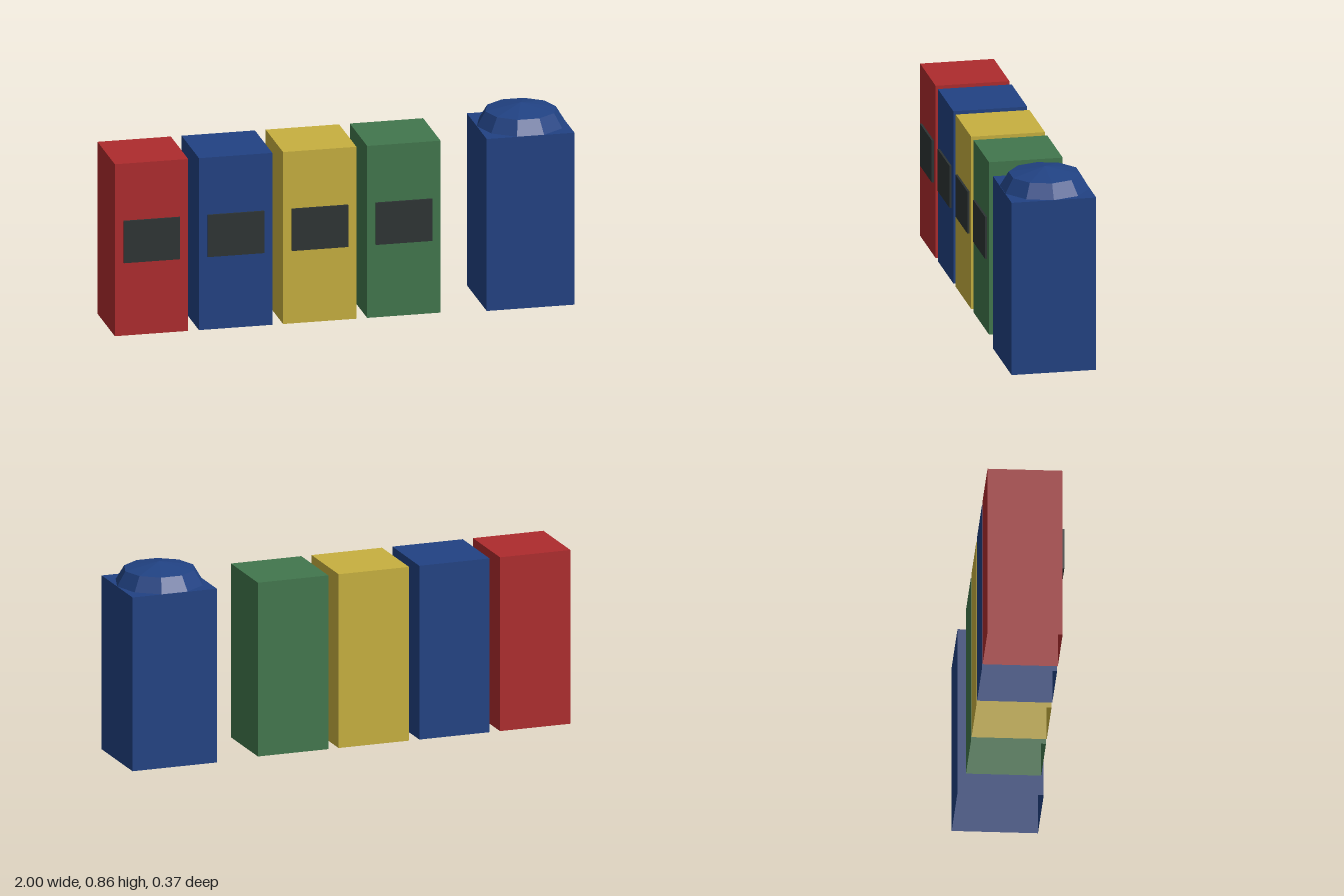
import * as THREE from 'three';

const material = (name, color) =>
  new THREE.MeshStandardMaterial({ name, color, flatShading: true, side: THREE.DoubleSide });

// Box standing on y = 0 with its underside left open
function openBox(width, height, depth) {
  const geometry = new THREE.BoxGeometry(width, height, depth);
  const index = Array.from(geometry.index.array);
  index.splice(18, 6); // the bottom face
  geometry.setIndex(index);
  geometry.clearGroups();
  return geometry.translate(0, height / 2, 0);
}

export function createModel() {
  const model = new THREE.Group();
  model.name = 'recyclingBins';

  const red = material('red', 0xae2b2d);
  const blue = material('blue', 0x214283);
  const yellow = material('yellow', 0xc7b03f);
  const green = material('green', 0x42774d);
  const dark = material('dark grey', 0x2d3434);

  const add = (parent, name, geometry, mat, x = 0, y = 0, z = 0) => {
    const mesh = new THREE.Mesh(geometry, mat);
    mesh.name = name;
    mesh.position.set(x, y, z);
    parent.add(mesh);
  };

  const height = 0.767;
  const width = 0.32;

  // Row of four square bins, each with a dark slot panel on the front
  const bodyGeometry = openBox(width, height, width);
  const panelGeometry = new THREE.BoxGeometry(0.246, 0.187, 0.0095);
  [['red', red], ['blue', blue], ['yellow', yellow], ['green', green]].forEach(([name, mat], i) => {
    const bin = new THREE.Group();
    bin.name = name + 'Bin';
    bin.position.x = -0.84 + i * 0.367;
    add(bin, 'body', bodyGeometry, mat);
    add(bin, 'slotPanel', panelGeometry, dark, 0, 0.419, width / 2 + 0.0045);
    model.add(bin);
  });

  // Larger bin with a ten-sided domed lid
  const domedBin = new THREE.Group();
  domedBin.name = 'domedBin';
  domedBin.position.x = 0.8085;
  add(domedBin, 'body', openBox(0.383, height, 0.367), blue);
  const profile = [[0.1915, 0], [0.154, 0.063], [0, 0.093]].map(([r, y]) => new THREE.Vector2(r, y));
  add(domedBin, 'domeLid', new THREE.LatheGeometry(profile, 10, Math.PI / 2), blue, 0, height, 0);
  model.add(domedBin);

  return model;
}
